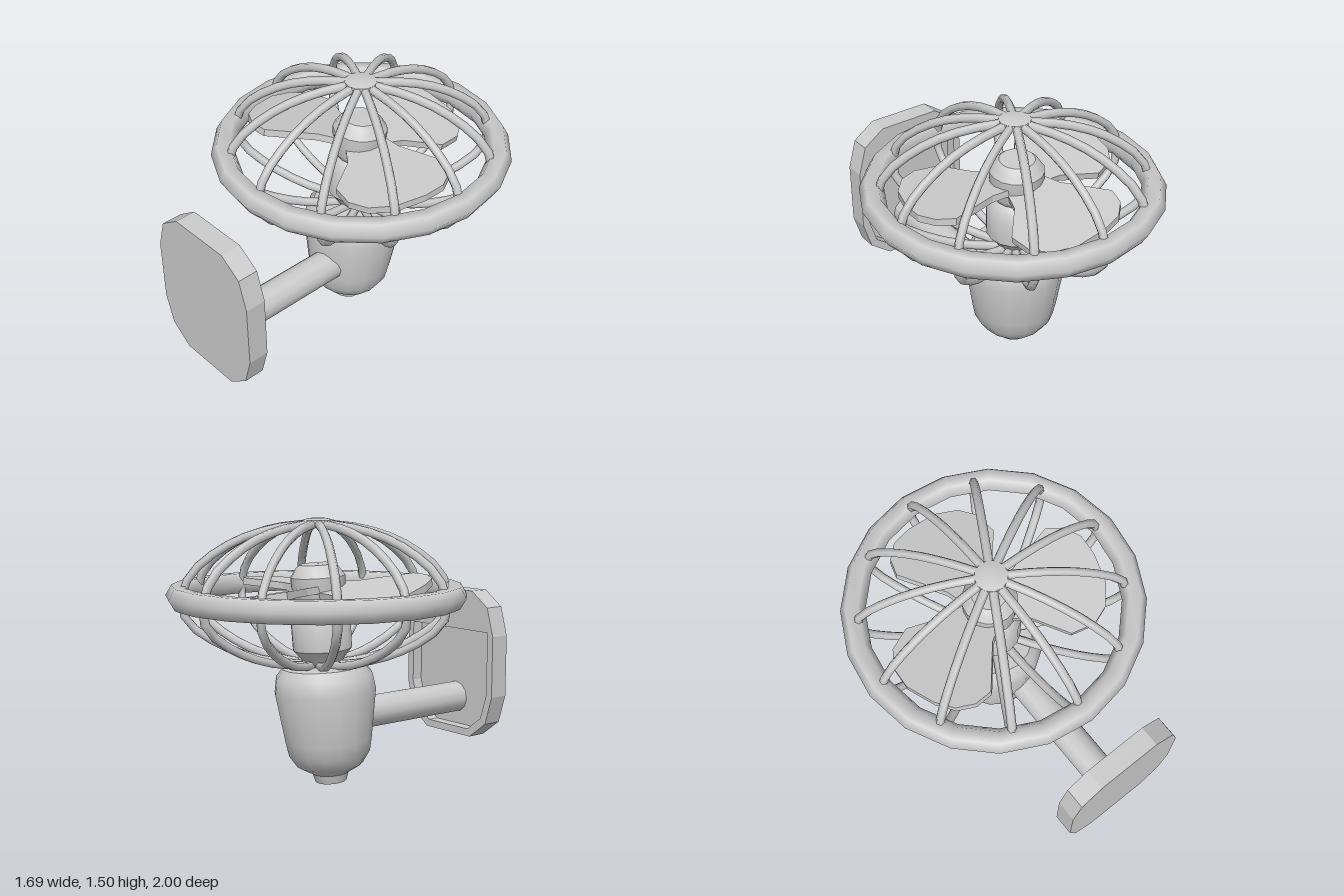
import * as THREE from 'three';
import { toCreasedNormals } from 'three/addons/utils/BufferGeometryUtils.js';

const grey = new THREE.MeshStandardMaterial({ color: 0xcccccc });
const v2 = ([x, y]) => new THREE.Vector2(x, y);

function add(parent, name, geometry, x = 0, y = 0, z = 0) {
  const mesh = new THREE.Mesh(geometry, grey);
  mesh.name = name;
  mesh.position.set(x, y, z);
  parent.add(mesh);
  return mesh;
}

// Turned part from [radius, height] pairs, bottom to top
const turned = (profile, sides = 16) =>
  toCreasedNormals(new THREE.LatheGeometry(profile.map(v2), sides), 0.65);

const slab = (shape, depth) =>
  new THREE.ExtrudeGeometry(shape, { depth, bevelEnabled: false });

export function createModel() {
  const model = new THREE.Group();
  model.name = 'wallFan';

  // Wall plate: solid front, recess in the lower part of the back
  const corner = [[0.37, 0.27], [0.37, -0.18], [0.32, -0.35], [0.19, -0.44]];
  const outline = [
    [0.19, 1.04], [-0.19, 1.04], [-0.32, 0.95], [-0.37, 0.78],
    [-0.37, 0.41], [-0.32, 0.24], [-0.19, 0.14],
    [0.19, 0.14], [0.32, 0.24], [0.37, 0.41], [0.37, 0.78], [0.32, 0.95],
  ];
  const front = new THREE.Shape(outline.map(v2));
  const rim = new THREE.Shape(outline.map(v2));
  const half = [[0.17, 0.185], [0.28, 0.27], [0.325, 0.42], [0.325, 0.8]];
  const recess = [...half, ...half.map(([x, y]) => [-x, y]).reverse()];
  rim.holes.push(new THREE.Path(recess.map(v2)));
  add(model, 'wallPlateFront', slab(front, 0.05), 0, 0, 0.95);
  add(model, 'wallPlateRim', slab(rim, 0.07), 0, 0, 0.88);

  // Arm from plate to body
  const arm = new THREE.CylinderGeometry(0.096, 0.096, 0.93, 12).rotateX(Math.PI / 2);
  add(model, 'arm', arm, 0.005, 0.355, 0.49);

  // Body, motor, hub and blades share one slightly leaning axis
  const axis = new THREE.Group();
  axis.name = 'leaningAxis';
  axis.position.set(-0.055, 0.008, -0.1);
  axis.rotation.set(-0.055, 0, -0.03);
  model.add(axis);

  add(axis, 'body', turned([
    [0, 0], [0.09, 0], [0.105, 0.05], [0.19, 0.1], [0.235, 0.17], [0.25, 0.25],
    [0.29, 0.53], [0.275, 0.62], [0.235, 0.67], [0, 0.68],
  ]));
  add(axis, 'motor', turned([
    [0.09, 0.66], [0.125, 0.72], [0.168, 0.77], [0.17, 0.93], [0.14, 0.99], [0.1, 1.02],
  ]));
  add(axis, 'hub', turned([
    [0, 1.0], [0.12, 1.0], [0.15, 1.04], [0.155, 1.18], [0.14, 1.2],
    [0.125, 1.225], [0.1, 1.247], [0, 1.25],
  ]));

  // Three pitched blades
  const bladeShape = new THREE.Shape([
    [0.08, -0.12], [0.19, -0.16], [0.36, -0.31], [0.5, -0.3], [0.59, -0.23], [0.645, -0.1],
    [0.645, 0.08], [0.615, 0.2], [0.54, 0.28], [0.44, 0.31], [0.19, 0.15], [0.08, 0.12],
  ].map(v2));
  const bladeGeometry = slab(bladeShape, 0.04).rotateX(-Math.PI / 2).translate(0, -0.02, 0);
  for (const degrees of [90, -18, 198]) {
    const blade = add(axis, 'blade', bladeGeometry, 0, 1.1, 0);
    blade.rotation.set(0.14, THREE.MathUtils.degToRad(degrees), 0, 'YXZ');
  }

  // Guard: outer ring, twelve bent wires and a top cap
  const guard = new THREE.Group();
  guard.name = 'guard';
  guard.position.set(0, 0, -0.155);
  model.add(guard);
  add(guard, 'guardRing',
    new THREE.TorusGeometry(0.776, 0.069, 6, 20).rotateX(Math.PI / 2), 0, 1.08, 0);

  const wirePath = new THREE.CatmullRomCurve3([
    [0.01, 1.48], [0.27, 1.445], [0.49, 1.365], [0.69, 1.215], [0.75, 1.09],
    [0.735, 0.96], [0.6, 0.84], [0.38, 0.74], [0.2, 0.7], [0.02, 0.685],
  ].map(([r, y]) => new THREE.Vector3(r, y, 0)));
  const wireGeometry = new THREE.TubeGeometry(wirePath, 18, 0.025, 6);
  for (let i = 0; i < 12; i++) {
    const wire = add(guard, 'guardWire', wireGeometry, -0.008, 0, -0.005);
    wire.rotation.y = (i * Math.PI) / 6;
  }
  add(guard, 'guardCap',
    turned([[0, 1.465], [0.09, 1.475], [0.09, 1.495], [0.05, 1.505], [0, 1.505]], 12), -0.01, 0, 0);

  return model;
}
